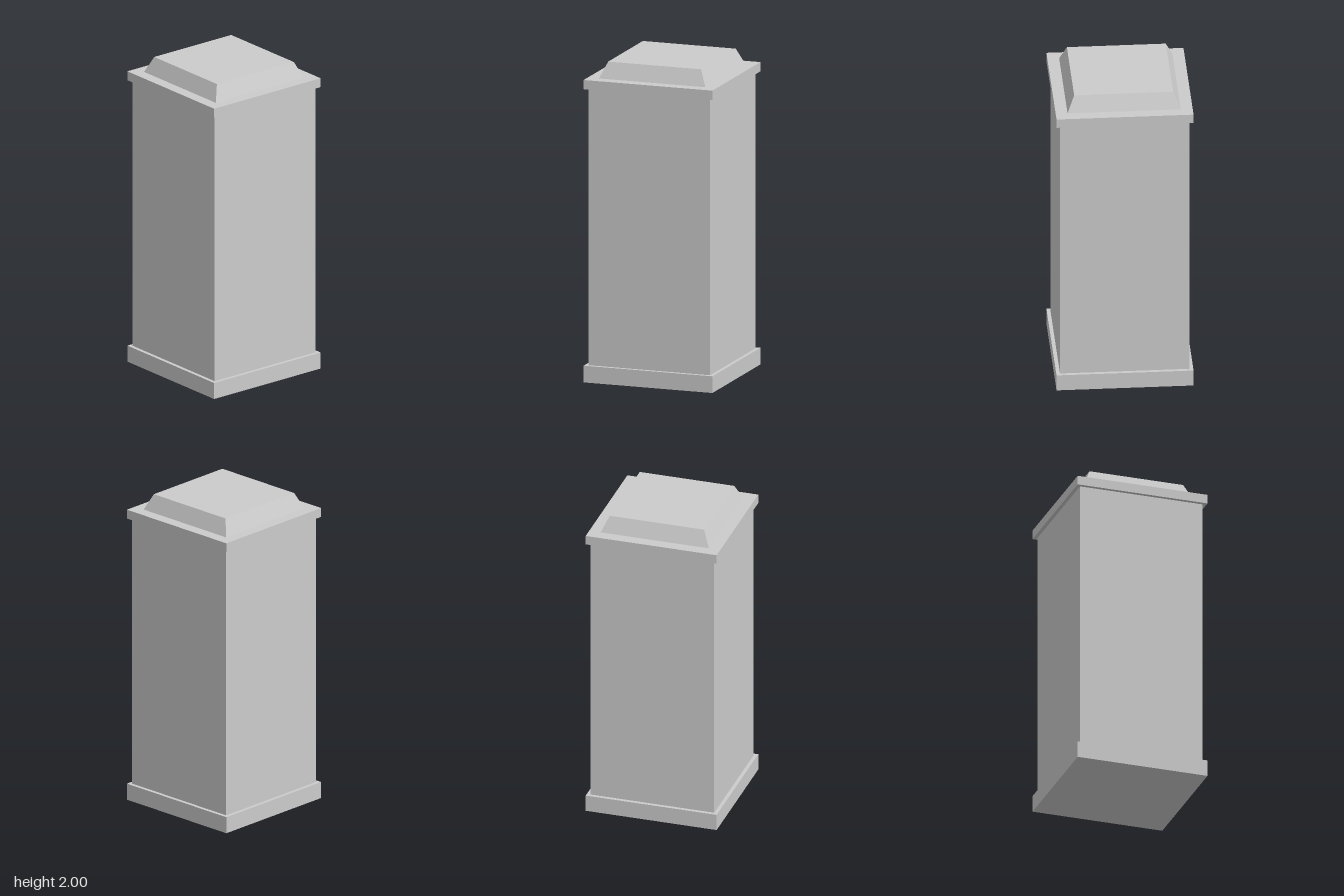
import * as THREE from 'three';

const material = new THREE.MeshStandardMaterial({ color: 0xcccccc, flatShading: true });

// Square block from y0 to y1; the top half-width may differ from the bottom one.
function block(name, y0, y1, halfBottom, halfTop = halfBottom) {
  const geometry = new THREE.BoxGeometry(2 * halfBottom, y1 - y0, 2 * halfBottom);
  geometry.translate(0, (y0 + y1) / 2, 0);
  const pos = geometry.attributes.position;
  const taper = halfTop / halfBottom;
  for (let i = 0; i < pos.count; i++) {
    if (pos.getY(i) > (y0 + y1) / 2) {
      pos.setX(i, pos.getX(i) * taper);
      pos.setZ(i, pos.getZ(i) * taper);
    }
  }
  geometry.computeVertexNormals();
  const mesh = new THREE.Mesh(geometry, material);
  mesh.name = name;
  return mesh;
}

export function createModel() {
  const pillar = new THREE.Group();
  pillar.name = 'pillar';
  pillar.add(
    block('basePlinth', 0, 0.105, 0.421),
    block('shaft', 0.105, 1.842, 0.398),
    block('capSlab', 1.842, 1.9, 0.421),
    block('bevelledTop', 1.9, 2, 0.348, 0.304),
  );
  return pillar;
}
